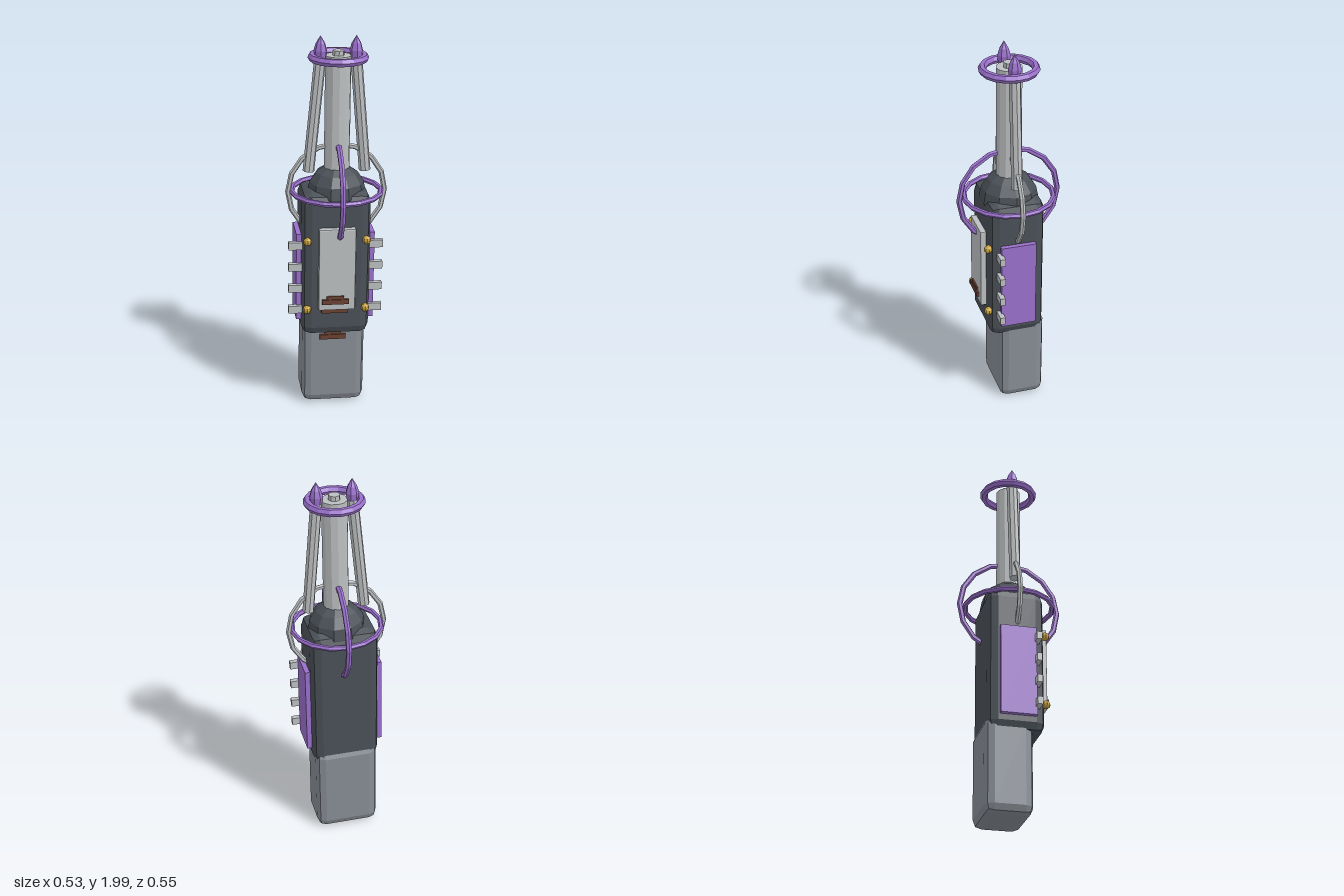
import * as THREE from 'three';
import { RoundedBoxGeometry } from 'three/addons/geometries/RoundedBoxGeometry.js';

const paint = (name, color) => {
  const m = new THREE.MeshStandardMaterial({ color });
  m.name = name;
  return m;
};

// Faceted low-poly normals
const facet = (geo) => {
  const g = geo.index ? geo.toNonIndexed() : geo;
  g.computeVertexNormals();
  return g;
};

export function createModel() {
  const dark = paint('dark slate', 0x4a5057);
  const grip = paint('mid grey', 0x878d95);
  const steel = paint('light steel', 0xbcbfc1);
  const purple = paint('purple', 0x9a70cc);
  const gold = paint('gold', 0xc9a23c);
  const brown = paint('brown', 0x6b4232);

  const model = new THREE.Group();
  model.name = 'device';
  // Everything leans and turns very slightly about mid height
  const tilt = new THREE.Group();
  tilt.name = 'tiltedAssembly';
  tilt.position.y = 1;
  tilt.rotation.set(0, -0.03, -0.015);
  const parts = new THREE.Group();
  parts.name = 'parts';
  parts.position.y = -1;
  tilt.add(parts);
  model.add(tilt);

  const add = (name, geo, mat, x = 0, y = 0, z = 0) => {
    const m = new THREE.Mesh(facet(geo), mat);
    m.name = name;
    m.position.set(x, y, z);
    parts.add(m);
    return m;
  };
  const box = (w, h, d, r) => new RoundedBoxGeometry(w, h, d, 1, r);
  const cx = -0.012; // centre line of body

  // Handle, body and dome
  add('handle', box(0.33, 0.5, 0.245, 0.045), grip, cx, 0.26, -0.037);
  add('body', box(0.355, 0.78, 0.295, 0.05), dark, cx, 0.82, -0.003);
  add('dome', new THREE.SphereGeometry(0.152, 10, 8), dark, 0, 1.18, 0);

  // Barrel with cap
  add('barrel', new THREE.CylinderGeometry(0.066, 0.066, 0.67, 12), steel, 0, 1.56, 0);
  add('barrelCap', new THREE.CylinderGeometry(0.03, 0.03, 0.04, 8), steel, 0, 1.9, 0);

  // Leaning rods and spikes on each side
  const spike = [[0, 1.885], [0.03, 1.885], [0.034, 1.92], [0.024, 1.955], [0, 1.995]]
    .map(([r, y]) => new THREE.Vector2(r, y));
  for (const s of [-1, 1]) {
    const side = s > 0 ? 'left' : 'right';
    const a = new THREE.Vector3(s * 0.145, 1.295, 0);
    const b = new THREE.Vector3(s * 0.09, 1.885, 0);
    const dir = b.clone().sub(a);
    const rod = add(side + 'Rod', new THREE.CylinderGeometry(0.03, 0.03, dir.length(), 8), steel);
    rod.position.copy(a).add(b).multiplyScalar(0.5);
    rod.quaternion.setFromUnitVectors(new THREE.Vector3(0, 1, 0), dir.normalize());
    add(side + 'Spike', new THREE.LatheGeometry(spike, 7), purple, s * 0.09, 0, 0);
  }

  // Rings
  const ring = (name, R, r, mat, y, rx, ry) => {
    add(name, new THREE.TorusGeometry(R, r, 6, 16), mat, 0, y, 0).rotation.set(rx, ry, 0);
  };
  ring('crownRing', 0.133, 0.021, purple, 1.885, Math.PI / 2, 0);
  ring('waistRing', 0.231, 0.014, purple, 1.187, Math.PI / 2, 0);
  ring('foreAftHoop', 0.262, 0.015, purple, 1.187, 0, Math.PI / 2);
  ring('sideHoop', 0.25, 0.014, steel, 1.187, 0, 0);

  // Side plates with studs
  for (const s of [-1, 1]) {
    const side = s > 0 ? 'left' : 'right';
    add(side + 'Plate', new THREE.BoxGeometry(0.03, 0.475, 0.185), purple, cx + s * 0.188, 0.748, 0);
    for (let i = 0; i < 4; i++) {
      add(side + 'Stud', new THREE.BoxGeometry(0.07, 0.04, 0.027), steel,
        cx + s * 0.209, 0.572 + i * 0.118, 0.097);
    }
  }

  // Front panel with corner bolts
  add('frontPanel', box(0.19, 0.445, 0.045, 0.006), steel, cx, 0.812, 0.152);
  for (const x of [-0.152, 0.152]) {
    for (const y of [0.589, 0.965]) {
      add('bolt', new THREE.SphereGeometry(0.022, 8, 6), gold, cx + x, y, 0.15);
    }
  }

  // Stepped brown slides on panel, body and handle
  for (const [y, z] of [[0.64, 0.174], [0.58, 0.147], [0.402, 0.086]]) {
    add('slideBar', new THREE.BoxGeometry(0.138, 0.026, 0.026), brown, cx - 0.008, y, z);
    add('slideStep', new THREE.BoxGeometry(0.09, 0.02, 0.016), brown, cx - 0.008, y + 0.02, z);
  }

  return model;
}
